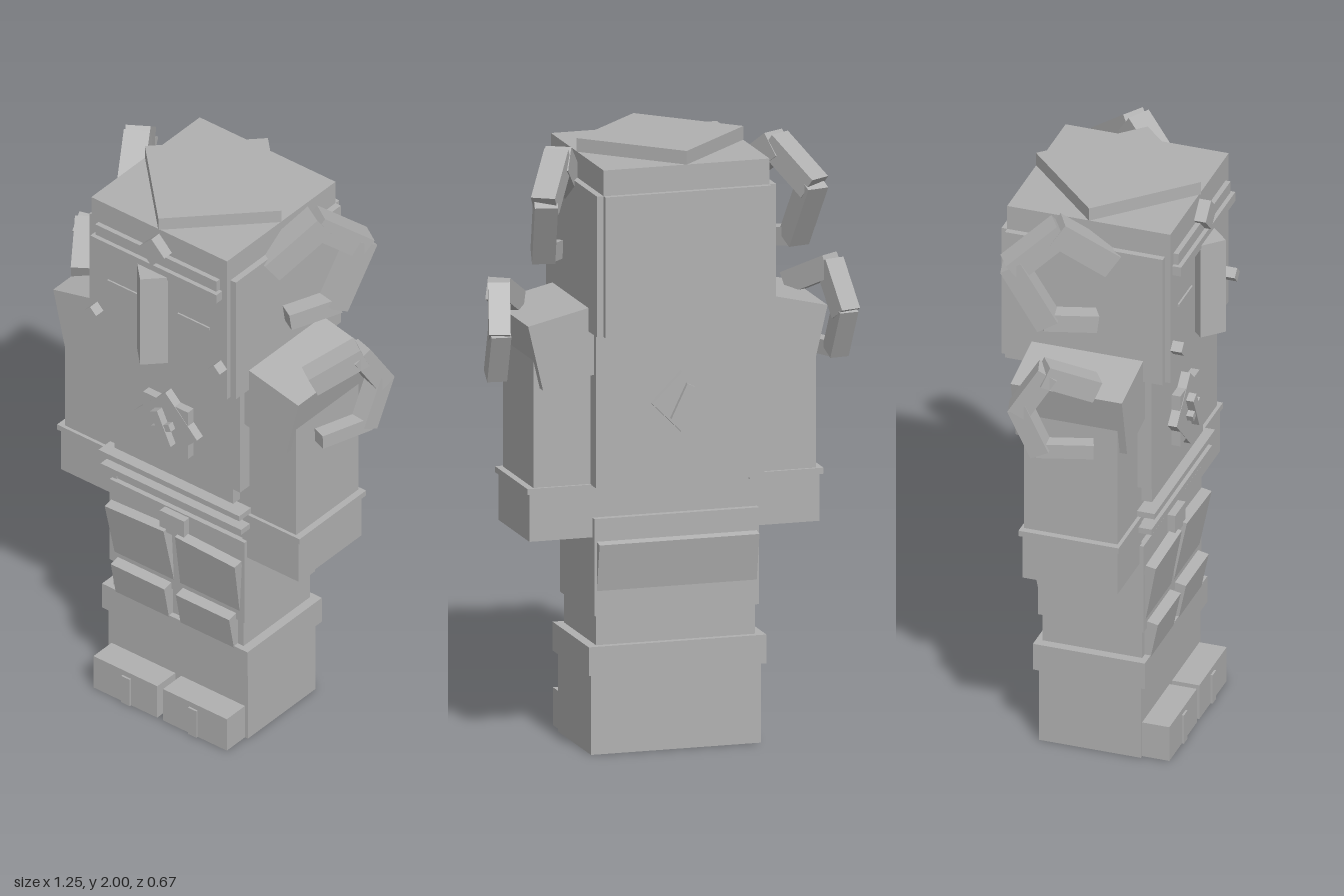
import * as THREE from 'three';

const stone = new THREE.MeshStandardMaterial({ color: 0xb0b0b0 });
stone.name = 'stone grey';

export function createModel() {
  const model = new THREE.Group();
  model.name = 'blockFigure';

  // Centred box with optional rotation
  function block(name, size, pos, rot = [0, 0, 0]) {
    const mesh = new THREE.Mesh(new THREE.BoxGeometry(...size), stone);
    mesh.name = name;
    mesh.position.set(...pos);
    mesh.rotation.set(...rot);
    model.add(mesh);
    return mesh;
  }

  // Box given by half width in x, and ranges in y and z
  function slab(name, hx, y0, y1, z0, z1) {
    return block(name, [2 * hx, y1 - y0, z1 - z0], [0, (y0 + y1) / 2, (z0 + z1) / 2]);
  }

  // Box given by ranges, mirrored to both sides
  function pair(name, x0, x1, y0, y1, z0, z1) {
    for (const s of [1, -1]) {
      block(name, [x1 - x0, y1 - y0, z1 - z0], [s * (x0 + x1) / 2, (y0 + y1) / 2, (z0 + z1) / 2]);
    }
  }

  // Curled horn made of square bars joining a list of points, on both sides
  function horns(name, points, widths) {
    for (const s of [1, -1]) {
      for (let i = 0; i < points.length - 1; i++) {
        const a = new THREE.Vector3(...points[i]);
        const b = new THREE.Vector3(...points[i + 1]);
        a.x *= s;
        b.x *= s;
        const mid = a.clone().add(b).multiplyScalar(0.5);
        const bar = block(name, [widths[i], widths[i], a.distanceTo(b) + 0.025], mid.toArray());
        bar.lookAt(b);
      }
    }
  }

  const quarter = Math.PI / 4;
  // Square plate standing on its corner
  function diamond(name, r, x, y, z0, z1) {
    block(name, [r * Math.SQRT2, r * Math.SQRT2, z1 - z0], [x, y, (z0 + z1) / 2], [0, 0, quarter]);
  }

  // Head
  slab('head', 0.28, 1.405, 1.955, -0.317, 0.24);
  slab('headSidePanels', 0.302, 1.405, 1.87, -0.317, 0.222);
  slab('headBackPanel', 0.28, 1.405, 1.87, -0.336, -0.317);
  block('crownPlate', [0.398, 0.045, 0.398], [0, 1.9775, -0.037], [0, quarter, 0]);
  slab('upperHeadband', 0.25, 1.83, 1.87, 0.24, 0.257);
  slab('lowerHeadband', 0.26, 1.795, 1.828, 0.24, 0.27);
  diamond('foreheadGem', 0.053, 0, 1.885, 0.24, 0.28);
  for (const s of [1, -1]) diamond('cheekStud', 0.025, s * 0.255, 1.525, 0.24, 0.278);
  block('nose', [0.09, 0.34, 0.09], [-0.005, 1.635, 0.268], [0, quarter, 0]);
  pair('brow', 0.08, 0.21, 1.65, 1.66, 0.24, 0.246);

  // Horns on the head and shoulders
  horns('headHorn',
    [[0.29, 1.83, 0.03], [0.37, 1.95, -0.11], [0.45, 1.84, -0.235], [0.425, 1.65, -0.13], [0.35, 1.63, 0]],
    [0.085, 0.08, 0.075, 0.06]);
  horns('shoulderHorn',
    [[0.475, 1.46, 0.04], [0.56, 1.53, -0.085], [0.583, 1.4, -0.165], [0.575, 1.26, -0.1], [0.52, 1.255, 0.05]],
    [0.075, 0.07, 0.065, 0.05]);

  // Torso
  slab('waist', 0.265, 0.71, 1.0, -0.19, 0.13);
  slab('torso', 0.284, 0.89, 1.41, -0.25, 0.13);
  slab('chestPlate', 0.284, 1.0, 1.405, 0.13, 0.178);
  slab('belly', 0.245, 0.93, 1.0, 0.13, 0.165);
  slab('upperBelt', 0.29, 0.895, 0.915, 0.12, 0.19);
  slab('lowerBelt', 0.29, 0.835, 0.855, 0.12, 0.18);

  // Chest ornament: eight-pointed plate with crossed bars
  block('chestStar', [0.185, 0.185, 0.035], [0, 1.155, 0.19]);
  diamond('chestStar', 0.131, 0, 1.155, 0.17, 0.209);
  block('chestBar', [0.033, 0.13, 0.03], [0, 1.155, 0.22], [0, 0, 0.45]);
  block('chestCrossbar', [0.08, 0.025, 0.025], [0, 1.155, 0.219], [0, 0, 0.45]);

  // Back ornament
  diamond('backPlate', 0.1, 0, 1.16, -0.27, -0.24);
  block('backBar', [0.03, 0.125, 0.03], [0, 1.16, -0.27], [0, 0, 0.45]);

  // Arms, cuffs and tilted shoulder pads
  pair('arm', 0.26, 0.477, 0.88, 1.4, -0.19, 0.13);
  pair('cuff', 0.26, 0.49, 0.715, 0.875, -0.19, 0.135);
  pair('cuffRim', 0.25, 0.5, 0.872, 0.892, -0.2, 0.142);
  for (const s of [1, -1]) {
    block('shoulderPad', [0.27, 0.22, 0.38], [s * 0.349, 1.358, -0.035], [0, 0, -s * 0.23]);
  }

  // Hips and legs with flared cloth panels
  slab('hips', 0.278, 0.46, 0.78, -0.213, 0.148);
  slab('legs', 0.268, 0.25, 0.47, -0.2, 0.14);
  slab('buckle', 0.05, 0.7, 0.775, 0.14, 0.175);
  for (const s of [1, -1]) {
    block('thighPanel', [0.245, 0.235, 0.035], [s * 0.14, 0.592, 0.148], [0.19, 0, -s * 0.05]);
    block('kneePanel', [0.22, 0.155, 0.04], [s * 0.134, 0.405, 0.15], [0.2, 0, 0]);
  }
  block('backPanel', [0.54, 0.25, 0.04], [0, 0.58, -0.2], [-0.19, 0, 0]);

  // Boots with toes
  slab('bootCuff', 0.3, 0.265, 0.36, -0.222, 0.16);
  slab('boots', 0.287, 0, 0.265, -0.205, 0.142);
  pair('toe', 0.012, 0.275, 0, 0.125, 0.14, 0.235);
  pair('toeRidge', 0.12, 0.155, 0, 0.105, 0.23, 0.242);

  return model;
}
